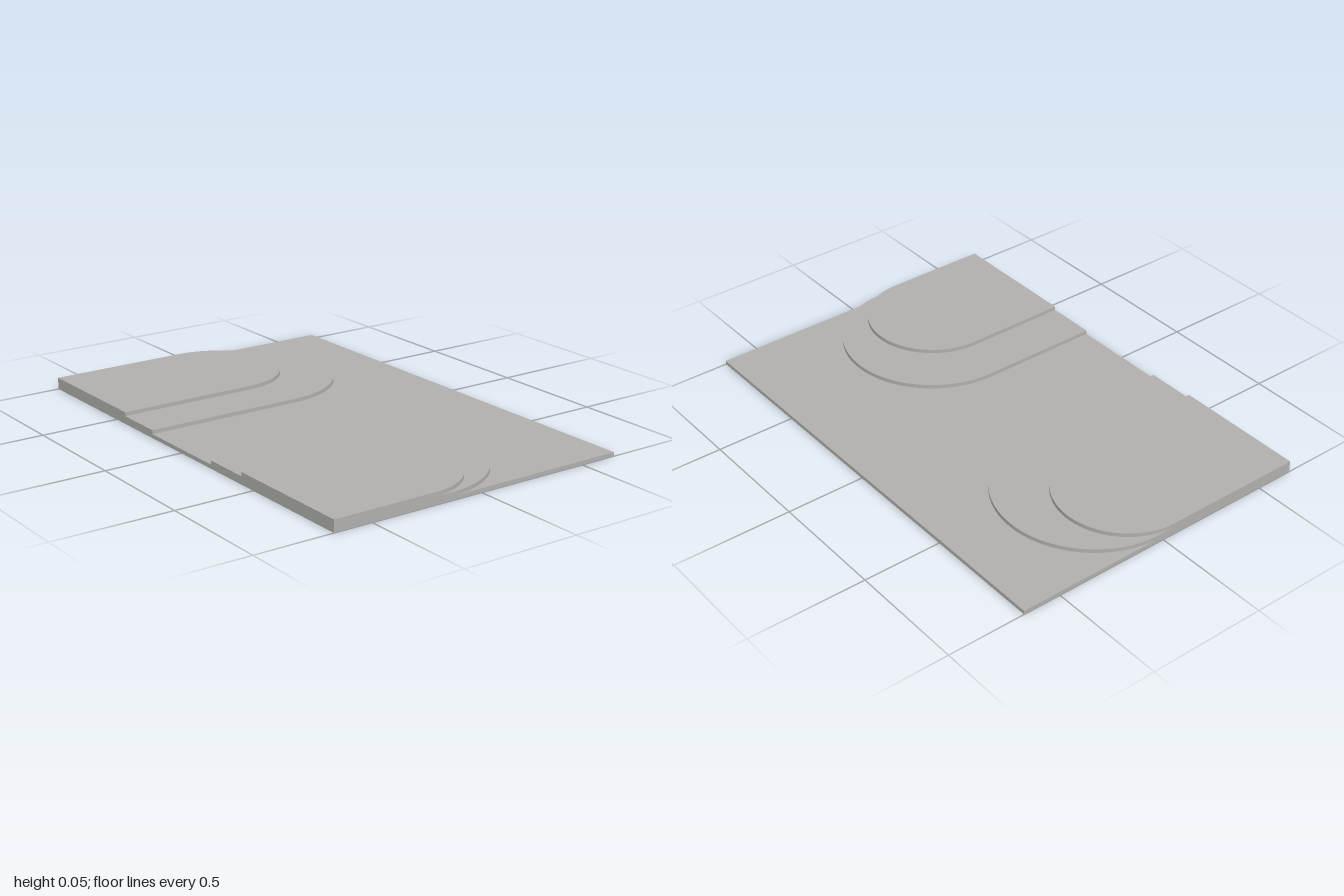
import * as THREE from 'three';

const HALF_X = 0.665, LAYER = 0.0167;

export function createModel() {
  const model = new THREE.Group();
  const stone = new THREE.MeshStandardMaterial({ color: 0xb0afac });
  stone.name = 'warm grey';

  // Flat base slab
  const base = new THREE.Mesh(new THREE.BoxGeometry(HALF_X * 2, LAYER, 2), stone);
  base.name = 'baseSlab';
  base.position.y = LAYER / 2;
  model.add(base);

  // Terrace: straight from the -x edge, ending in a half circle that reaches tipX
  function addTerrace(name, level, zMin, zMax, tipX) {
    const r = (zMax - zMin) / 2, cy = -(zMin + zMax) / 2, cx = tipX - r;
    const shape = new THREE.Shape();
    shape.moveTo(-HALF_X, cy - r);
    shape.lineTo(cx, cy - r);
    shape.absarc(cx, cy, r, -Math.PI / 2, Math.PI / 2, false);
    shape.lineTo(-HALF_X, cy + r);
    shape.closePath();
    const geometry = new THREE.ExtrudeGeometry(shape, { depth: LAYER, bevelEnabled: false, curveSegments: 64 });
    geometry.rotateX(-Math.PI / 2);
    const mesh = new THREE.Mesh(geometry, stone);
    mesh.name = name;
    mesh.position.y = level * LAYER;
    model.add(mesh);
  }

  addTerrace('backLowerTerrace', 1, -1, -0.215, 0.412);
  addTerrace('backUpperTerrace', 2, -1, -0.428, 0.228);
  addTerrace('frontLowerTerrace', 1, 0.213, 1, 0.253);
  addTerrace('frontUpperTerrace', 2, 0.424, 1, 0.07);

  return model;
}
